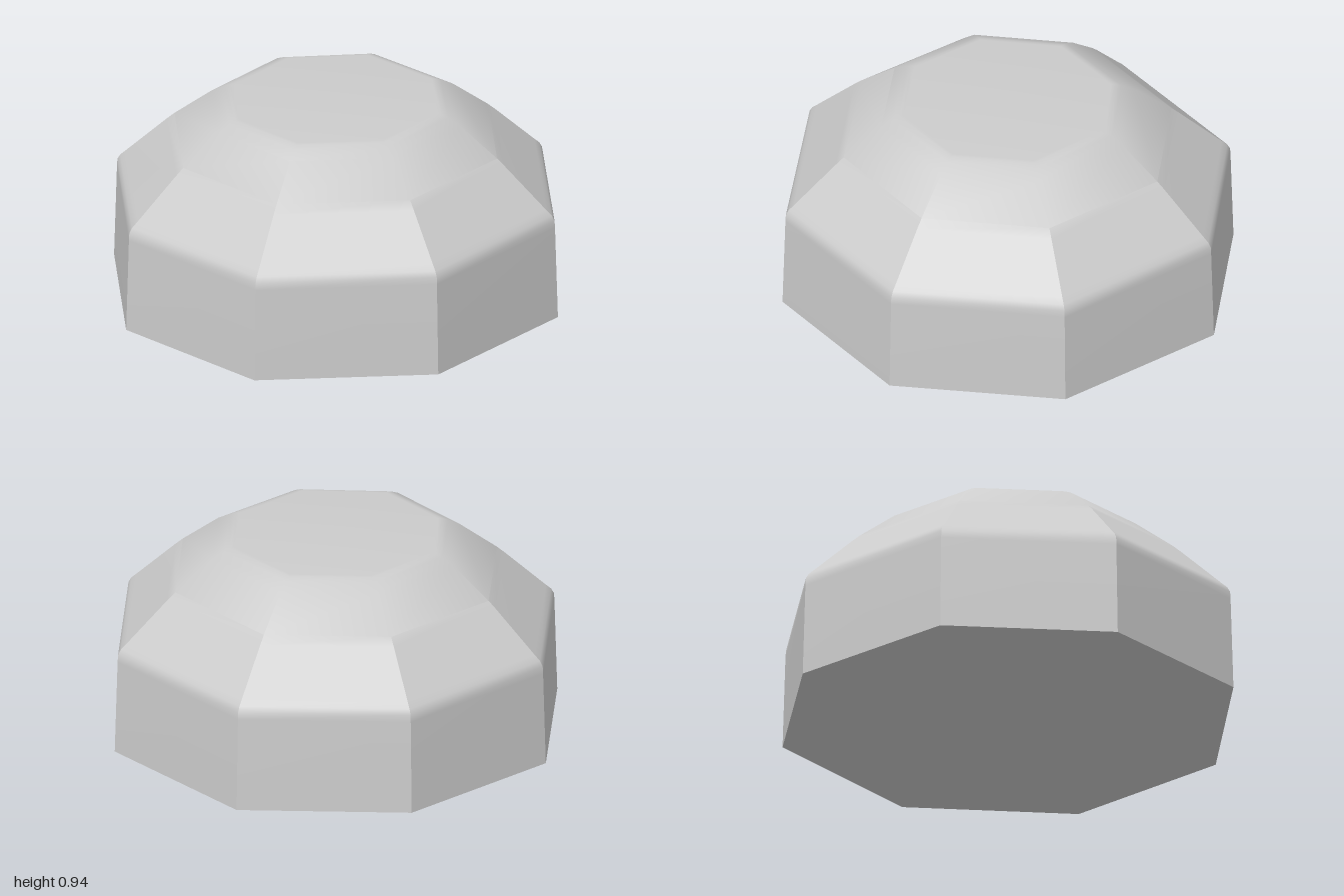
import * as THREE from 'three';
import { toCreasedNormals } from 'three/addons/utils/BufferGeometryUtils.js';

// Slightly uneven octagonal footprint, [x, z]
const corners = [
  [1.0, 0.39], [0.44, 0.98], [-0.385, 0.99], [-1.0, 0.41],
  [-0.995, -0.39], [-0.43, -0.98], [0.39, -1.0], [0.985, -0.46],
];

// Rising cross-sections, [height, scale of the footprint]
const rings = [
  [0, 1], [0.45, 0.987], [0.485, 0.985], [0.51, 0.972], [0.535, 0.947],
  [0.725, 0.763], [0.76, 0.727], [0.9, 0.56], [0.93, 0.505], [0.943, 0.478], [0.945, 0.46],
];

function domeGeometry() {
  const n = corners.length;
  const positions = [];
  const index = [];
  for (const [y, s] of rings) {
    for (const [x, z] of corners) positions.push(x * s, y, z * s);
  }
  // Sides
  for (let r = 0; r < rings.length - 1; r++) {
    for (let i = 0; i < n; i++) {
      const a = r * n + i, b = r * n + (i + 1) % n;
      index.push(a, a + n, b, b, a + n, b + n);
    }
  }
  // Flat base and top
  const base = positions.length / 3, top = base + 1;
  const lastRing = (rings.length - 1) * n;
  positions.push(0, 0, 0, 0, 0.945, 0);
  for (let i = 0; i < n; i++) {
    const j = (i + 1) % n;
    index.push(base, i, j, top, lastRing + j, lastRing + i);
  }
  const geometry = new THREE.BufferGeometry();
  geometry.setAttribute('position', new THREE.Float32BufferAttribute(positions, 3));
  geometry.setIndex(index);
  // Sharp corners on the walls, soft shoulder and crown
  return toCreasedNormals(geometry, THREE.MathUtils.degToRad(29.8));
}

export function createModel() {
  const group = new THREE.Group();
  group.name = 'facetedDome';
  const material = new THREE.MeshStandardMaterial({ color: 0xcccccc });
  const dome = new THREE.Mesh(domeGeometry(), material);
  dome.name = 'domeBody';
  group.add(dome);
  return group;
}
